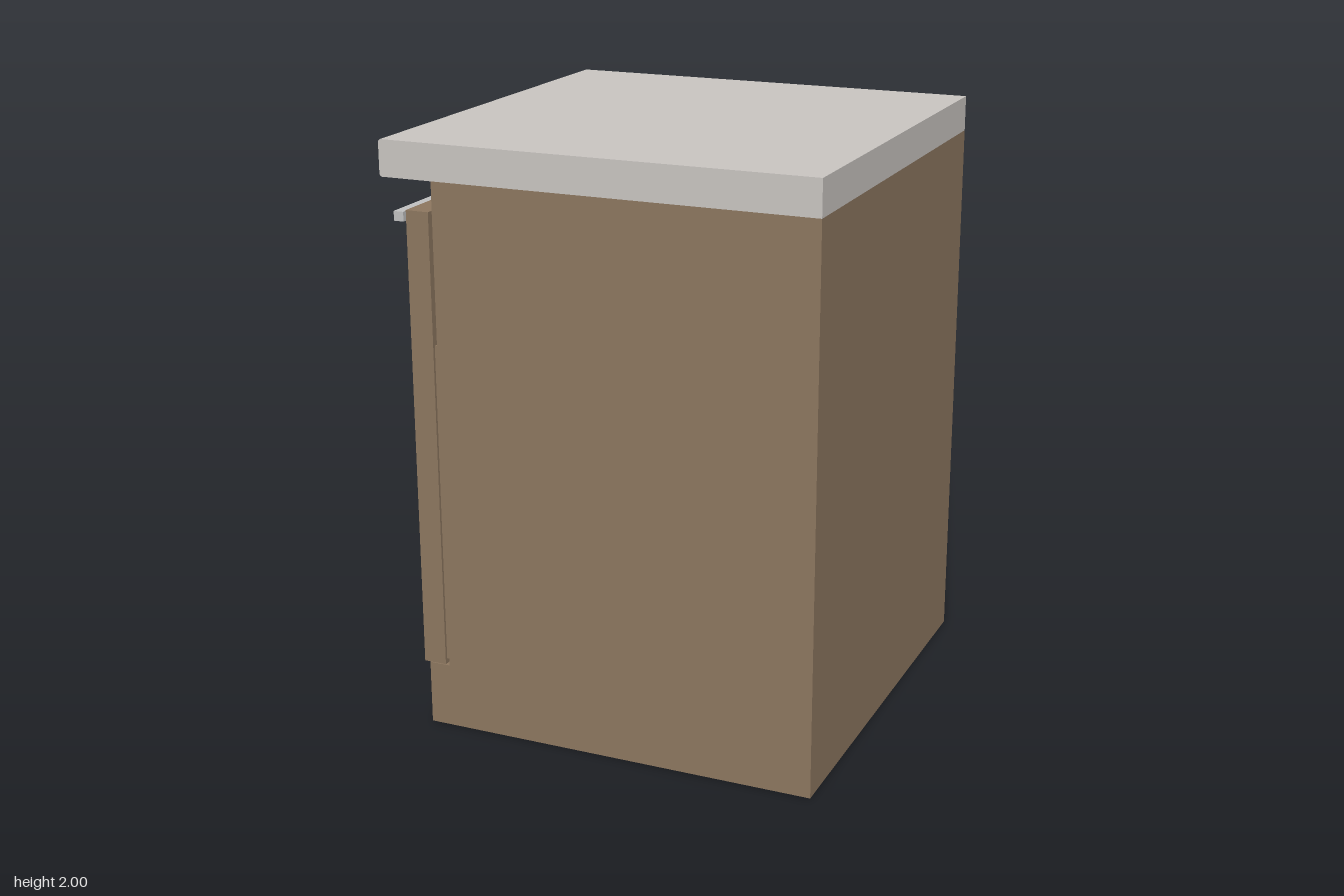
import * as THREE from 'three';

const wood = new THREE.MeshStandardMaterial({ color: 0x8c765f });
wood.name = 'brown wood';
const stone = new THREE.MeshStandardMaterial({ color: 0xc8c4c0 });
stone.name = 'pale grey worktop';
const metal = new THREE.MeshStandardMaterial({ color: 0xc0c0c0 });
metal.name = 'silver metal';

// Box given by its lower and upper limits on each axis
function box(name, material, [x0, x1], [y0, y1], [z0, z1]) {
  const mesh = new THREE.Mesh(new THREE.BoxGeometry(x1 - x0, y1 - y0, z1 - z0), material);
  mesh.position.set((x0 + x1) / 2, (y0 + y1) / 2, (z0 + z1) / 2);
  mesh.name = name;
  return mesh;
}

export function createModel() {
  const model = new THREE.Group();
  model.name = 'cabinetAppliance';
  const depth = [-0.74, 0.74];

  // Cabinet body, with the plinth stepping out under the door
  model.add(box('body', wood, [-0.556, 0.74], [0, 1.88], depth));
  model.add(box('plinth', wood, [-0.63, -0.556], [0, 0.22], depth));

  // Door and the thin inner panel behind it
  model.add(box('door', wood, [-0.65, -0.57], [0.222, 1.78], depth));
  model.add(box('innerPanel', wood, [-0.57, -0.556], [0.24, 1.34], [-0.73, 0.73]));

  // Worktop slab with eased edges on the door side
  const b = 0.007;
  const profile = new THREE.Shape();
  profile.moveTo(0.74, 1.88);
  profile.lineTo(0.74, 2);
  profile.lineTo(-0.74 + b, 2);
  profile.lineTo(-0.74, 2 - b);
  profile.lineTo(-0.74, 1.88 + b);
  profile.lineTo(-0.74 + b, 1.88);
  profile.closePath();
  const slab = new THREE.ExtrudeGeometry(profile, { depth: 1.48, bevelEnabled: false });
  slab.translate(0, 0, -0.74);
  const worktop = new THREE.Mesh(slab, stone);
  worktop.name = 'worktop';
  model.add(worktop);

  // Bar handle on two posts
  const handle = new THREE.Group();
  handle.name = 'handle';
  handle.add(box('handleBar', metal, [-0.725, -0.69], [1.728, 1.76], [-0.69, 0.69]));
  for (const z of [-0.47, 0.47]) {
    handle.add(box('handlePost', metal, [-0.69, -0.65], [1.728, 1.76], [z - 0.016, z + 0.016]));
  }
  model.add(handle);
  return model;
}
